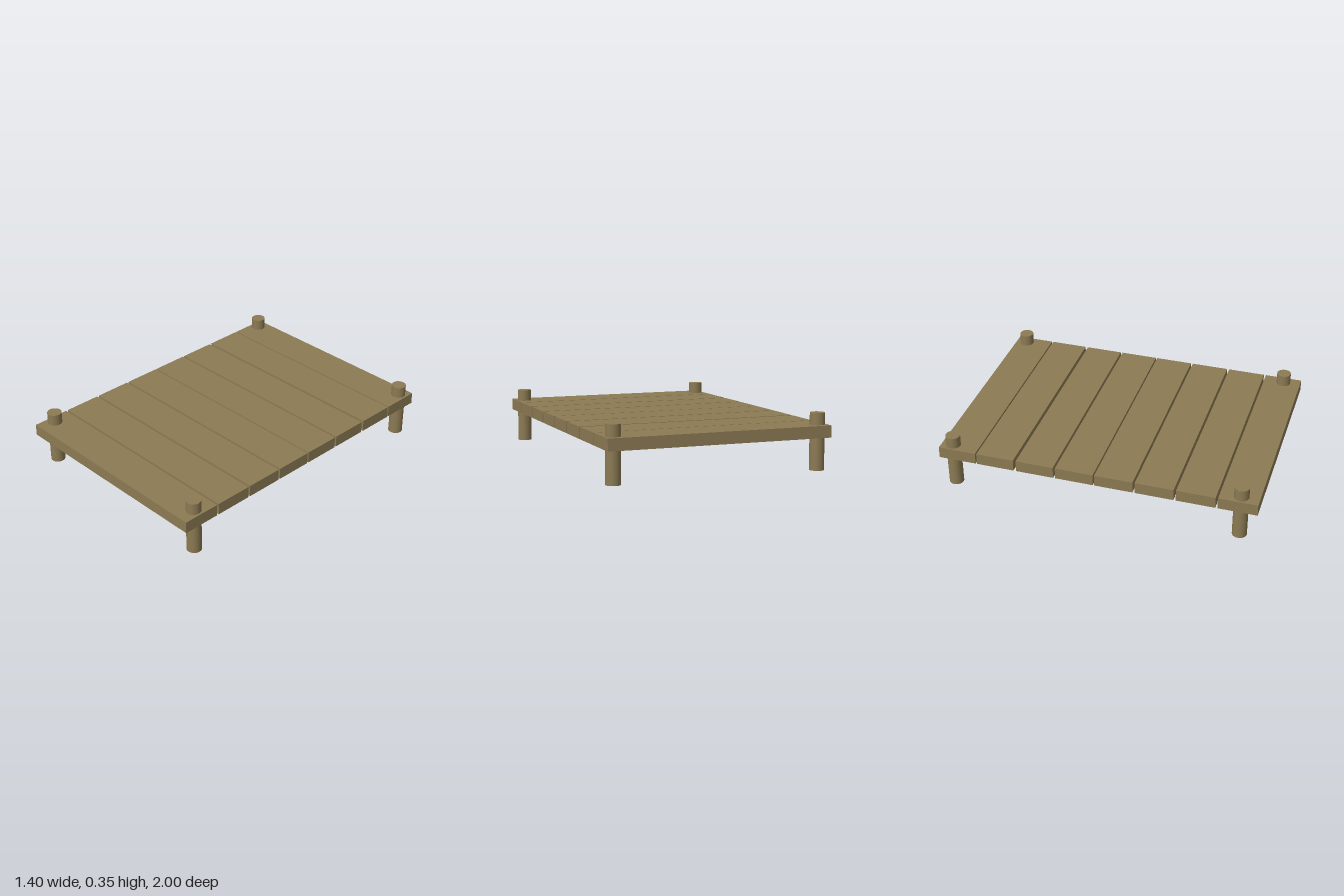
import * as THREE from 'three';

export function createModel() {
  const model = new THREE.Group();
  model.name = 'woodenPlatform';
  const wood = new THREE.MeshStandardMaterial({ color: 0x8b7a53 });

  // Deck planks, slightly unevenly spaced
  const plankGeometry = new THREE.BoxGeometry(1.4, 0.073, 0.239);
  const deck = new THREE.Group();
  deck.name = 'deck';
  [-0.8805, -0.633, -0.377, -0.125, 0.123, 0.375, 0.628, 0.8805].forEach((z, i) => {
    const plank = new THREE.Mesh(plankGeometry, wood);
    plank.name = `plank${i + 1}`;
    plank.position.set(0, 0.2375, z);
    deck.add(plank);
  });
  model.add(deck);

  // Round corner posts passing through the deck
  const postHeight = 0.346;
  const postGeometry = new THREE.CylinderGeometry(0.045, 0.045, postHeight, 32);
  for (const [end, z] of [['front', 0.89], ['back', -0.925]]) {
    for (const [side, x] of [['Left', 0.643], ['Right', -0.645]]) {
      const post = new THREE.Mesh(postGeometry, wood);
      post.name = `${end}${side}Post`;
      post.position.set(x, postHeight / 2, z);
      model.add(post);
    }
  }
  return model;
}
